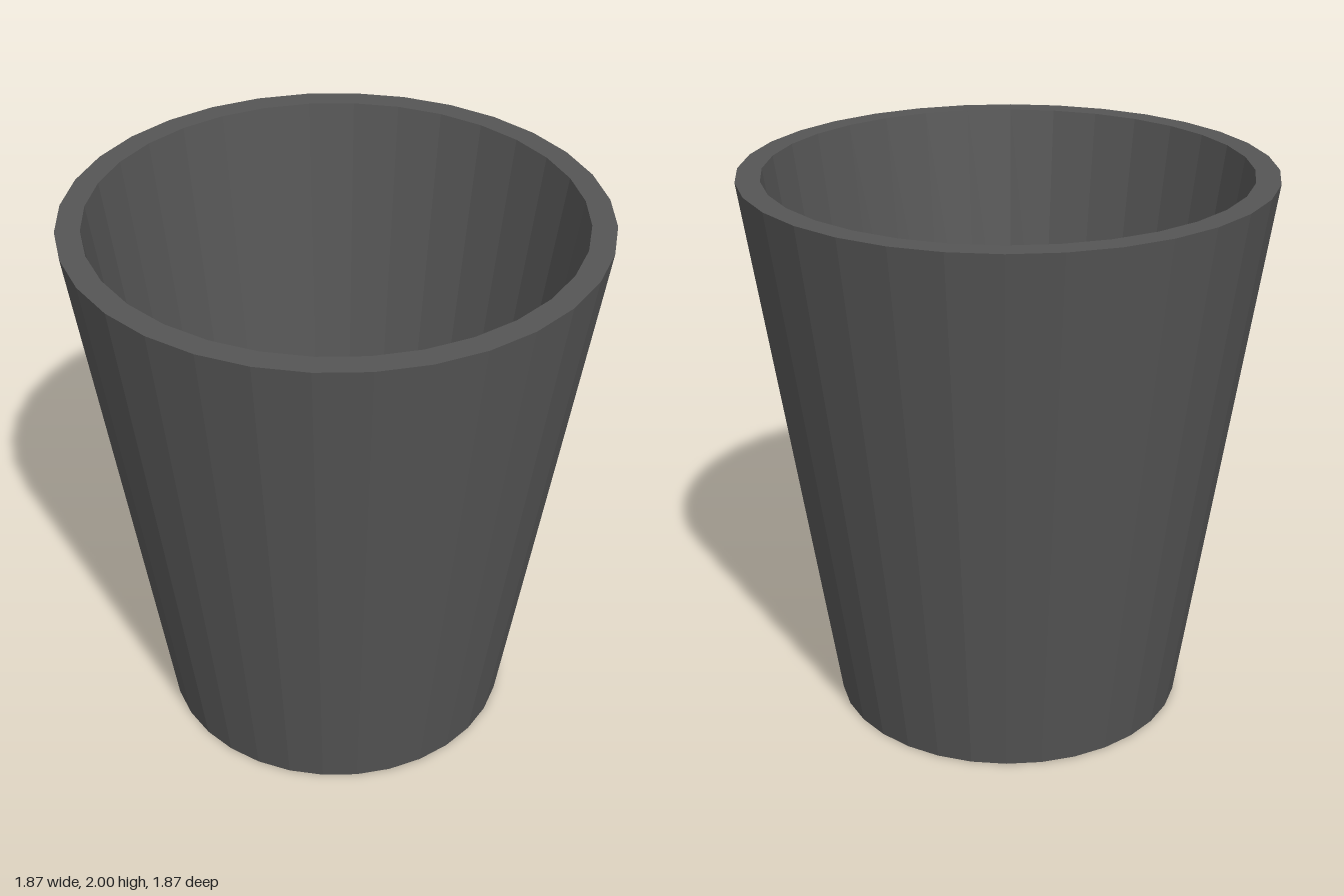
import * as THREE from 'three';

const SIDES = 32;

export function createModel() {
  const group = new THREE.Group();
  group.name = 'cup';
  const material = new THREE.MeshStandardMaterial({ color: 0x555555, flatShading: true });

  const floorY = 0.71, floorRadius = 0.66;
  const add = (name, geometry) => {
    const mesh = new THREE.Mesh(geometry, material);
    mesh.name = name;
    group.add(mesh);
    return mesh;
  };

  // Tapered wall: outside from the base up, over the flat rim, down the inside
  const profile = [[0.64, 0], [0.935, 2], [0.85, 2], [floorRadius, floorY]];
  add('wall', new THREE.LatheGeometry(profile.map(([r, y]) => new THREE.Vector2(r, y)), SIDES));

  // Flat discs closing the underside and the inside
  add('base', new THREE.CircleGeometry(0.64, SIDES).rotateX(Math.PI / 2));
  add('innerFloor', new THREE.CircleGeometry(floorRadius, SIDES).rotateX(-Math.PI / 2)).position.y = floorY;

  return group;
}
